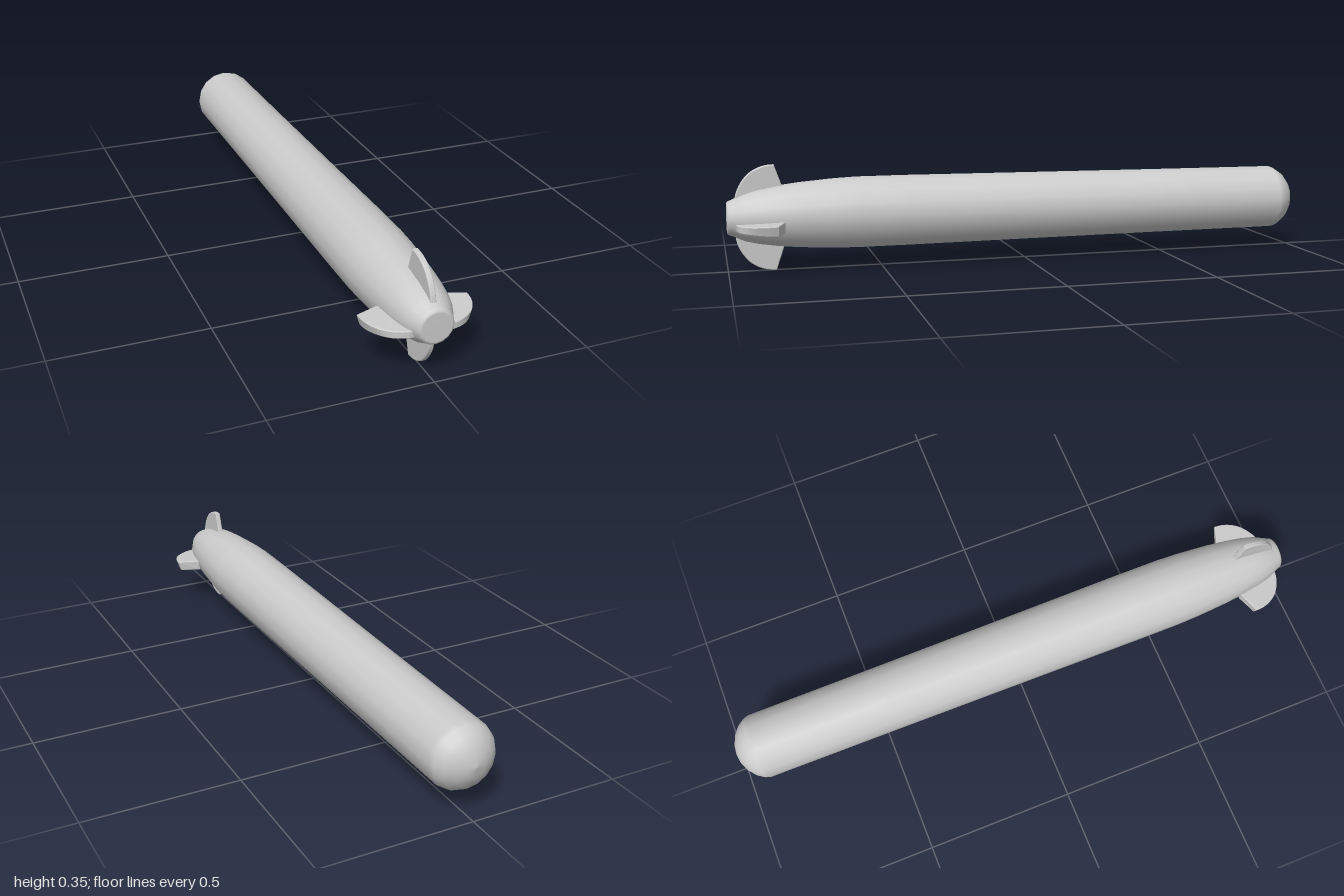
import * as THREE from 'three';

const material = new THREE.MeshStandardMaterial({ color: 0xcccccc });

// 16-sided hull turned along z, from rounded rear dome to blunt front cap
function createHull() {
  const profile = [
    [0, -1], [0.035, -0.994], [0.066, -0.98], [0.09, -0.96], [0.105, -0.938], [0.111, -0.92],
    [0.113, -0.47], [0.116, 0], [0.119, 0.42], [0.119, 0.58], [0.116, 0.66], [0.108, 0.77],
    [0.1, 0.84], [0.09, 0.9], [0.078, 0.945], [0.065, 0.972], [0.059, 0.985],
    [0.056, 0.994], [0.051, 0.999], [0.046, 1], [0, 1],
  ].map(([r, z]) => new THREE.Vector2(r, z));
  const geometry = new THREE.LatheGeometry(profile, 16);
  geometry.rotateX(Math.PI / 2);
  // The axis rises slightly towards the widest section
  const p = geometry.attributes.position;
  for (let i = 0; i < p.count; i++) {
    const z = p.getZ(i);
    const rise = z < 0.55 ? 0.004 * (z + 1) / 1.55 : 0.004 * (1 - z) / 0.45;
    p.setY(i, p.getY(i) + 0.179 + rise);
  }
  const hull = new THREE.Mesh(geometry, material);
  hull.name = 'hull';
  return hull;
}

// Swept fin outline: x runs along the hull, y runs outwards from its axis
function finGeometry(thickness, bevel, reach) {
  const b = bevel;
  const shape = new THREE.Shape();
  shape.moveTo(0.82 + b, 0.03);
  shape.lineTo(0.82 + b, 0.1);
  shape.lineTo(0.846 + b * 0.5, reach - b);
  shape.quadraticCurveTo(0.895, reach - b, 0.93, reach - 0.035);
  shape.quadraticCurveTo(0.962, reach - 0.07, 0.972 - b, 0.068);
  shape.lineTo(0.972 - b, 0.03);
  const geometry = new THREE.ExtrudeGeometry(shape, {
    depth: thickness - 2 * b, bevelEnabled: true, bevelSize: b, bevelThickness: b,
    bevelSegments: 3, curveSegments: 8,
  });
  geometry.translate(0, 0, b - thickness / 2);
  return geometry;
}

// Stand a fin outline up along a given outward direction
function createFin(name, geometry, outward, y) {
  const along = new THREE.Vector3(0, 0, 1);
  const across = new THREE.Vector3().crossVectors(along, outward);
  geometry.applyMatrix4(new THREE.Matrix4().makeBasis(along, outward, across));
  geometry.translate(0, y, 0);
  const fin = new THREE.Mesh(geometry, material);
  fin.name = name;
  return fin;
}

export function createModel() {
  const group = new THREE.Group();
  group.name = 'torpedo';
  group.add(createHull());

  // Thin vertical fins
  for (const side of [1, -1]) {
    group.add(createFin(side > 0 ? 'topFin' : 'bottomFin',
      finGeometry(0.018, 0.004, 0.174), new THREE.Vector3(0, side, 0), 0.176));
  }

  // Thick horizontal fins: slanted tips, thinner towards the front
  for (const side of [1, -1]) {
    const fin = createFin(side > 0 ? 'leftFin' : 'rightFin',
      finGeometry(0.038, 0.004, 0.175), new THREE.Vector3(side, 0, 0), 0);
    const p = fin.geometry.attributes.position;
    for (let i = 0; i < p.count; i++) {
      const y = p.getY(i), x = Math.abs(p.getX(i));
      const slant = (0.019 - y) / 0.038 * 0.011 * THREE.MathUtils.smoothstep(x, 0.1, 0.17);
      const taper = 1 - 0.4 * THREE.MathUtils.smoothstep(p.getZ(i), 0.83, 0.98);
      p.setX(i, side * (x - slant));
      p.setY(i, 0.155 + y * taper);
    }
    fin.geometry.computeVertexNormals();
    group.add(fin);
  }
  return group;
}
